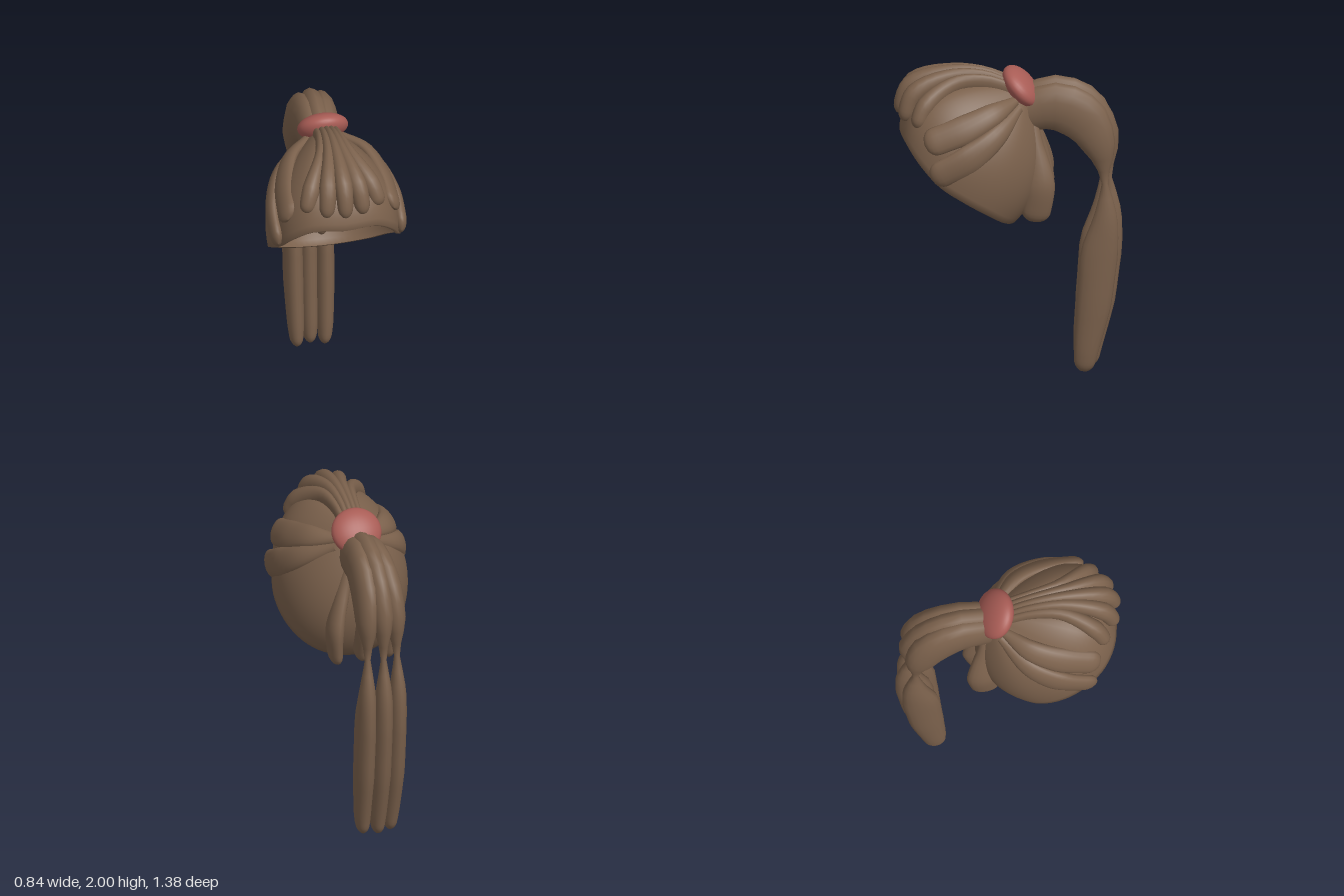
import * as THREE from 'three';

const V = (x, y, z) => new THREE.Vector3(x, y, z);

// Joins rings of equal length into a smooth skin, wrapping around each ring.
function skin(rings) {
  const m = rings[0].length, pos = [], idx = [];
  rings.forEach(r => r.forEach(p => pos.push(p.x, p.y, p.z)));
  for (let i = 0; i < rings.length - 1; i++) {
    for (let j = 0; j < m; j++) {
      const a = i * m + j, b = i * m + (j + 1) % m;
      idx.push(a, b, a + m, b, b + m, a + m);
    }
  }
  const g = new THREE.BufferGeometry();
  g.setAttribute('position', new THREE.Float32BufferAttribute(pos, 3));
  g.setIndex(idx);
  g.computeVertexNormals();
  return g;
}

// Value from a short list at u in 0..1.
function pick(list, u) {
  const s = u * (list.length - 1), i = Math.min(Math.floor(s), list.length - 2);
  return THREE.MathUtils.lerp(list[i], list[i + 1], s - i);
}

// Flattened lock with a rounded tip; sideOf(point, tangent) gives its width axis.
function lock(points, widths, depths, sideOf, segments = 20, tip = 0.09) {
  const curve = new THREE.CatmullRomCurve3(points), rings = [], sides = 16;
  for (let i = 0; i <= segments; i++) {
    const u = 1 - Math.pow(1 - i / segments, 1.5);
    const p = curve.getPoint(u), t = curve.getTangent(u);
    const w = sideOf(p, t).normalize();
    const n = t.clone().cross(w).normalize();
    const k = u > 1 - tip ? Math.sqrt(Math.max(0, 1 - ((u - 1 + tip) / tip) ** 2)) : 1;
    const ring = [];
    for (let j = 0; j < sides; j++) {
      const a = j / sides * Math.PI * 2;
      ring.push(p.clone()
        .addScaledVector(w, Math.cos(a) * pick(widths, u) * k)
        .addScaledVector(n, Math.sin(a) * pick(depths, u) * k));
    }
    rings.push(ring);
  }
  return skin(rings);
}

// Width axes: wrapped around a centre, or straight across.
const around = centre => (p, t) => t.clone().cross(p.clone().sub(centre));
const overHead = around(V(0, 1.4, 0.2));
const besideHead = around(V(0, 1.6, 0.15));
const acrossX = () => V(1, 0, 0);

// Open shell from the crown down to the slanted rim, fuller at the nape.
function capGeometry() {
  const half = [
    V(0, 1.59, 0.655), V(0.2, 1.585, 0.625), V(0.315, 1.49, 0.545), V(0.375, 1.36, 0.42),
    V(0.4, 1.27, 0.28), V(0.365, 1.165, 0.13), V(0.275, 1.075, 0.03), V(0.15, 1.02, -0.03),
    V(0, 1.0, -0.05),
  ];
  const other = half.slice(1, -1).reverse().map(p => V(-p.x, p.y, p.z));
  const rim = new THREE.CatmullRomCurve3([...half, ...other], true);
  const crown = V(0, 1.85, -0.1), inside = V(0, 1.32, 0.3);
  const cols = 64, rows = 20, rings = [];
  for (let i = 0; i <= rows + 1; i++) {
    const ring = [];
    for (let j = 0; j < cols; j++) {
      const r = rim.getPoint(j / cols);
      const nape = THREE.MathUtils.smoothstep(-r.z, -0.16, 0.05);
      const c = V(r.x * 1.13, r.y + 0.42 - 0.12 * nape, r.z * 1.24 - 0.245 - 0.03 * nape);
      ring.push(i > rows
        ? r.clone().lerp(inside, 0.06)
        : new THREE.QuadraticBezierCurve3(crown, c, r).getPoint(i / rows));
    }
    rings.push(ring);
  }
  return skin(rings);
}

export function createModel() {
  const model = new THREE.Group();
  const hair = new THREE.MeshStandardMaterial({ color: 0x7b614c, side: THREE.DoubleSide });
  hair.name = 'brownHair';
  const red = new THREE.MeshStandardMaterial({ color: 0xa85c55 });
  red.name = 'redBand';

  const add = (name, geometry, material = hair) => {
    const mesh = new THREE.Mesh(geometry, material);
    mesh.name = name;
    model.add(mesh);
    return mesh;
  };
  const mirrored = (name, points, widths, depths, sideOf) => {
    for (const s of [1, -1]) {
      const pts = points.map(p => V(p.x * s, p.y, p.z));
      add((s > 0 ? 'left' : 'right') + name, lock(pts, widths, depths, sideOf));
    }
  };

  add('cap', capGeometry());

  // Fringe locks, close together at the band and fanning out at the brow
  for (let i = -2; i <= 2; i++) {
    const drop = i * i;
    add('fringeLock', lock([
      V(i * 0.026, 1.84, -0.05),
      V(i * 0.029, 1.925 - drop * 0.005, 0.14),
      V(i * 0.044, 1.945 - drop * 0.009, 0.35 - drop * 0.008),
      V(i * 0.09, 1.87 - drop * 0.014, 0.585 - drop * 0.022),
      V(i * 0.114, 1.685, 0.66 - drop * 0.025),
    ], [0.022, 0.028, 0.038, 0.055, 0.045], [0.045, 0.055, 0.055, 0.06, 0.045], overHead));
  }

  // Two broad locks sweeping along each side
  mirrored('UpperSideLock',
    [V(0.1, 1.8, -0.04), V(0.232, 1.775, 0.09), V(0.303, 1.705, 0.27), V(0.327, 1.615, 0.51)],
    [0.03, 0.07, 0.09, 0.085], [0.03, 0.038, 0.042, 0.04], besideHead);
  mirrored('LowerSideLock',
    [V(0.12, 1.76, -0.06), V(0.295, 1.66, 0.07), V(0.368, 1.54, 0.24), V(0.378, 1.415, 0.47)],
    [0.03, 0.065, 0.095, 0.085], [0.03, 0.038, 0.045, 0.04], besideHead);

  // Locks down the nape
  mirrored('NapeLock',
    [V(0.04, 1.74, -0.11), V(0.105, 1.53, -0.155), V(0.17, 1.28, -0.185), V(0.16, 1.03, -0.155)],
    [0.03, 0.042, 0.052, 0.04], [0.04, 0.05, 0.095, 0.085], acrossX);
  add('middleNapeLock', lock(
    [V(0, 1.74, -0.11), V(0, 1.52, -0.17), V(0, 1.25, -0.185), V(0, 1.03, -0.14)],
    [0.02, 0.02, 0.042, 0.04], [0.04, 0.045, 0.095, 0.085], acrossX));

  // Hair band, a tilted lens on the crown
  const band = add('hairBand', new THREE.SphereGeometry(1, 32, 20), red);
  band.scale.set(0.155, 0.146, 0.076);
  band.position.set(0, 1.857, -0.078);
  band.rotation.x = Math.PI + Math.atan2(0.66, 0.75);

  // Ponytail of three locks, merged over the bend and pinched below it
  const tail = [
    [-0.12, 1.73], [-0.3, 1.755], [-0.45, 1.68], [-0.56, 1.5], [-0.59, 1.275],
    [-0.595, 1.02], [-0.56, 0.8], [-0.525, 0.45], [-0.48, 0.15], [-0.465, 0.005],
  ];
  const spread = [0.045, 0.055, 0.07, 0.085, 0.092, 0.096, 0.096, 0.095, 0.09, 0.085];
  for (const s of [-1, 0, 1]) {
    const shift = s === 0 ? 0.014 : -0.012;
    add(['rightTailLock', 'middleTailLock', 'leftTailLock'][s + 1], lock(
      tail.map(([z, y], i) => V(s * spread[i], y + (i < 4 ? shift : 0), z - (i > 2 ? shift : 0))),
      [0.075, 0.082, 0.08, 0.068, 0.014, 0.05, 0.06, 0.06, 0.05, 0.036],
      [0.13, 0.16, 0.155, 0.1, 0.012, 0.075, 0.115, 0.105, 0.075, 0.055],
      acrossX, 30, 0.05));
  }
  return model;
}
